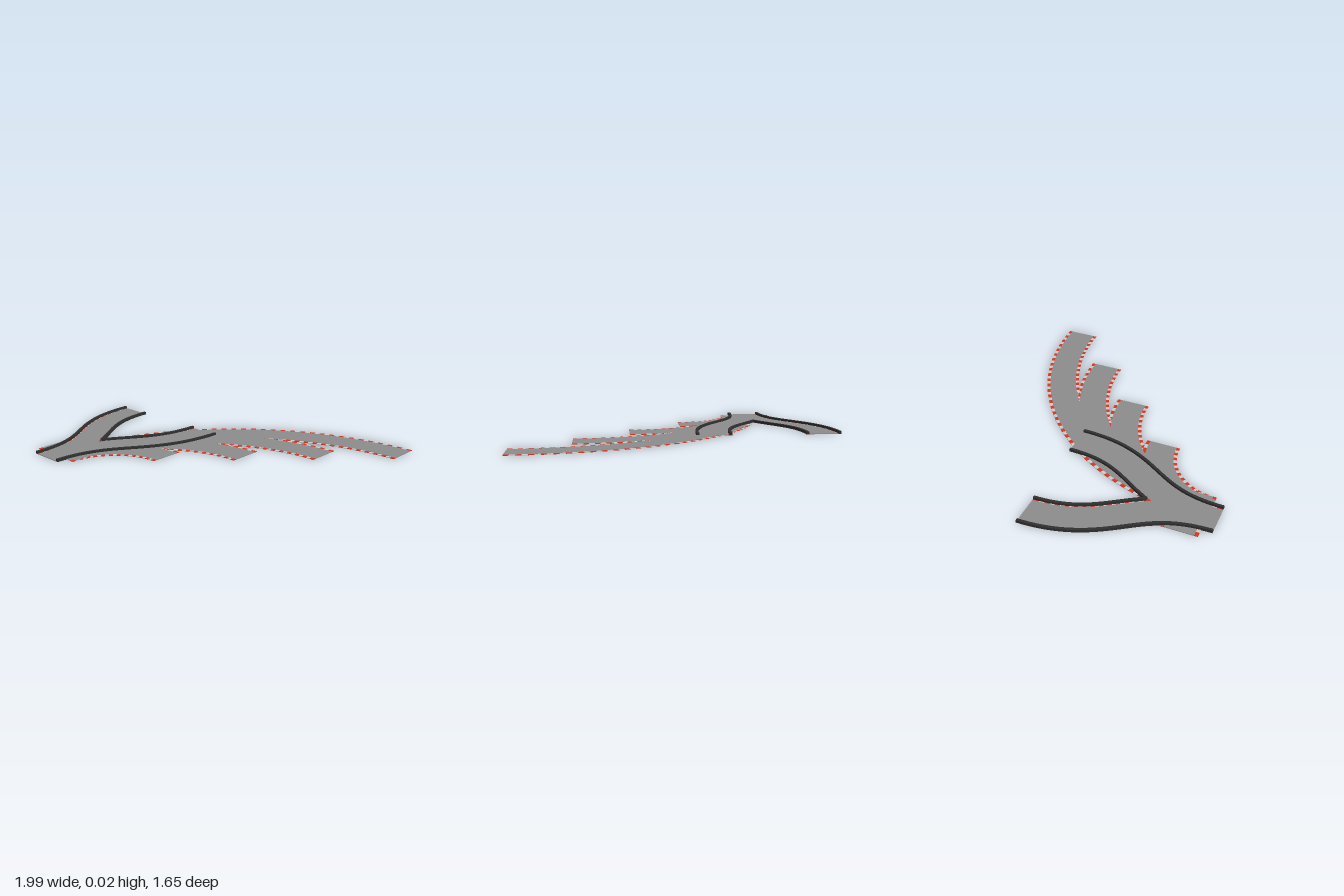
import * as THREE from 'three';
import { mergeGeometries } from 'three/addons/utils/BufferGeometryUtils.js';

const HALF = 0.108;        // half road width including kerbs
const KERB = 0.021;        // kerb width
const DASH = 0.031;        // kerb dash length
const ROAD_TOP = 0.0034, KERB_TOP = 0.003, WALL_TOP = 0.017;
const FORK_X = -0.545;

const paint = (color) => new THREE.MeshStandardMaterial({ color });
const mats = {
  road: paint(0x8c8c8c),
  red: paint(0xd8331f),
  white: paint(0xcccccc),
  wall: paint(0x303030),
};

// Rectangular bar swept along a flat path from t0 to t1, between side offsets a and b
function sweep(path, t0, t1, segments, a, b, y0, y1) {
  const pos = [], index = [];
  const corners = [[a, y0], [b, y0], [b, y1], [a, y1]];
  for (let i = 0; i <= segments; i++) {
    const t = t0 + (t1 - t0) * i / segments;
    const p = path.getPoint(t), d = path.getTangent(t);
    for (const [o, y] of corners) pos.push(p.x - d.y * o, y, p.y + d.x * o);
  }
  for (let i = 0; i < segments; i++) {
    for (let k = 0; k < 4; k++) {
      const p = i * 4 + k, q = i * 4 + (k + 1) % 4;
      index.push(p, p + 4, q, q, p + 4, q + 4);
    }
  }
  const e = segments * 4;
  index.push(0, 1, 2, 0, 2, 3, e, e + 2, e + 1, e, e + 3, e + 2);
  const g = new THREE.BufferGeometry();
  g.setAttribute('position', new THREE.Float32BufferAttribute(pos, 3));
  g.setIndex(index);
  const flat = g.toNonIndexed();
  flat.computeVertexNormals();
  return flat;
}

function addMesh(group, name, geometry, material) {
  const mesh = new THREE.Mesh(geometry, material);
  mesh.name = name;
  group.add(mesh);
}

// Paved strip with alternating kerb dashes; starts gives [left, right] kerb start
function addRoad(group, path, segments, starts = [0, 0]) {
  const inner = HALF - KERB;
  addMesh(group, 'roadSurface', sweep(path, 0, 1, segments, -inner, inner, 0, ROAD_TOP), mats.road);
  const dashes = { red: [], white: [] };
  const count = Math.max(3, Math.round(path.getLength() / DASH / 2) * 2 + 1);
  [-1, 1].forEach((side, s) => {
    const a = side < 0 ? -HALF : inner, b = side < 0 ? -inner : HALF;
    for (let i = 0; i < count; i++) {
      const t0 = Math.max(starts[s], i / count), t1 = (i + 1) / count;
      if (t1 > t0) dashes[i % 2 ? 'white' : 'red'].push(sweep(path, t0, t1, 2, a, b, 0, KERB_TOP));
    }
  });
  addMesh(group, 'redKerb', mergeGeometries(dashes.red), mats.red);
  addMesh(group, 'whiteKerb', mergeGeometries(dashes.white), mats.white);
}

// Quarter-circle path heading to the back and turning to +x
class QuarterTurn extends THREE.Curve {
  constructor(radius) { super(); this.radius = radius; }
  getPoint(t) {
    const a = t * Math.PI / 2, r = this.radius;
    return new THREE.Vector2(-0.48 + r - r * Math.cos(a), 0.76 - r * Math.sin(a));
  }
  getTangent(t) {
    const a = t * Math.PI / 2;
    return new THREE.Vector2(Math.sin(a), -Math.cos(a));
  }
}

// S-shaped branch of the fork; dir is -1 or +1 along x
function branchPath(dir) {
  const v = (x, z) => new THREE.Vector2(FORK_X + dir * x, z);
  return new THREE.CubicBezierCurve(v(0, 0.825), v(0, 0.3125), v(0.341, 0.3125), v(0.341, -0.2));
}

// First t at which the inner edge of a branch leaves the fork's centre line
function crotchStart(path, dir) {
  for (let t = 0; t < 1; t += 0.002) {
    const p = path.getPoint(t), d = path.getTangent(t);
    if (dir * (p.x - FORK_X + d.y * dir * (HALF - 0.008)) > 0) return t;
  }
  return 1;
}

export function createModel() {
  const model = new THREE.Group();
  model.name = 'trackPieces';

  // Four nested quarter turns
  [0.45, 0.79, 1.13, 1.475].forEach((radius, i) => {
    const turn = new THREE.Group();
    turn.name = 'quarterTurn' + (i + 1);
    addRoad(turn, new QuarterTurn(radius), 24 + i * 12);
    model.add(turn);
  });

  // Short straight lying across the start
  const straight = new THREE.Group();
  straight.name = 'straight';
  addRoad(straight, new THREE.LineCurve(new THREE.Vector2(-0.714, 0.653), new THREE.Vector2(-0.373, 0.653)), 1);
  model.add(straight);

  // Fork with low walls along every edge
  const fork = new THREE.Group();
  fork.name = 'fork';
  for (const dir of [-1, 1]) {
    const branch = new THREE.Group();
    branch.name = dir < 0 ? 'rightBranch' : 'leftBranch';
    const path = branchPath(dir);
    const start = crotchStart(path, dir);
    addRoad(branch, path, 40, dir < 0 ? [0, start] : [start, 0]);
    for (const side of [-1, 1]) {
      const c = side * (HALF - 0.006);
      const t0 = side === dir ? 0 : start;
      addMesh(branch, side === dir ? 'outerWall' : 'innerWall',
        sweep(path, t0, 1, 40, c - 0.009, c + 0.009, 0, WALL_TOP), mats.wall);
    }
    fork.add(branch);
  }
  model.add(fork);
  return model;
}
